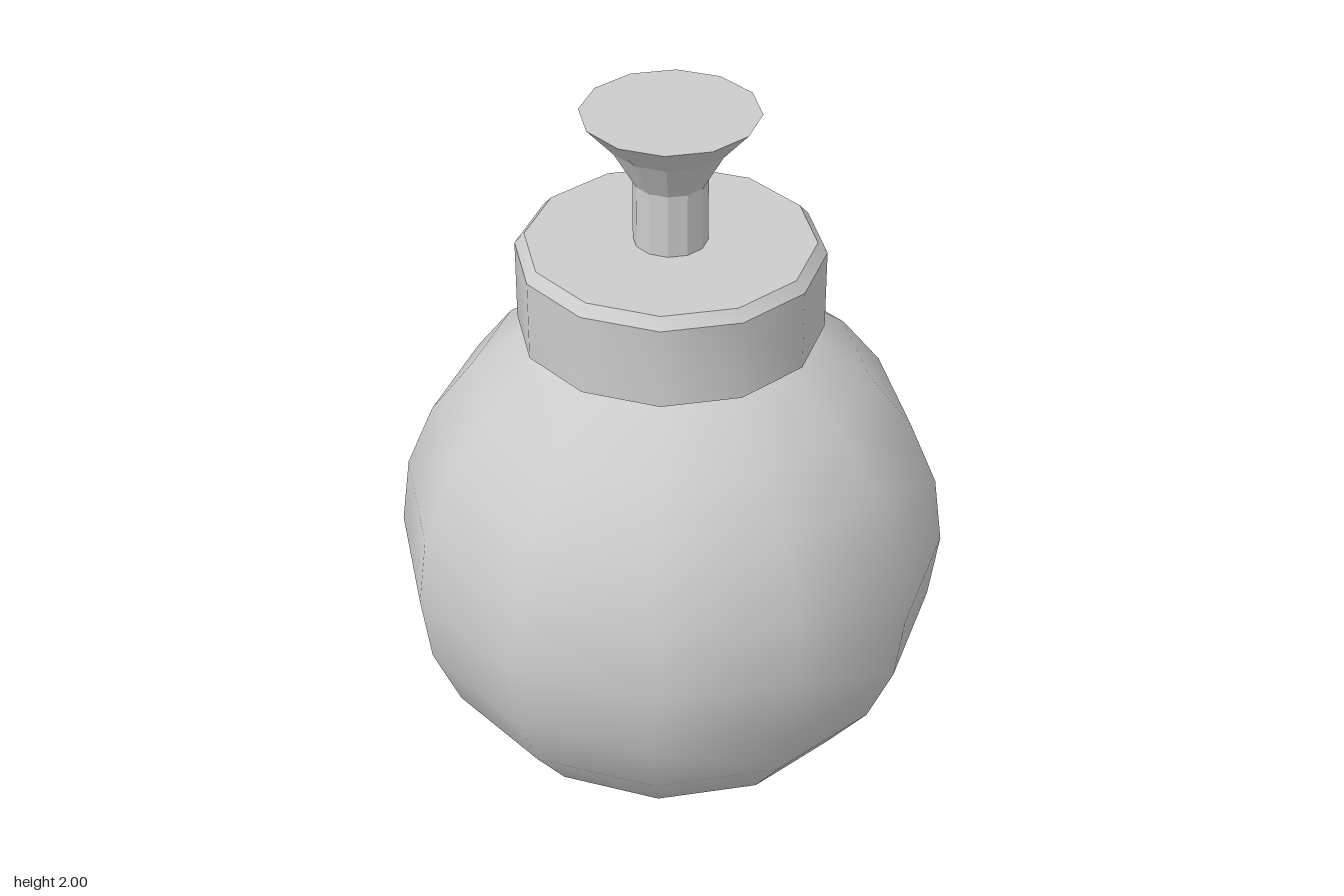
import * as THREE from 'three';
import { toCreasedNormals } from 'three/addons/utils/BufferGeometryUtils.js';

const SIDES = 12;

// Turn a [radius, height] profile, listed from bottom to top
function turned(name, profile, flatShading = false) {
  const points = profile.map(([r, y]) => new THREE.Vector2(r, y));
  const geometry = toCreasedNormals(new THREE.LatheGeometry(points, SIDES), 0.6);
  const mesh = new THREE.Mesh(geometry, new THREE.MeshStandardMaterial({ color: 0xcccccc, flatShading }));
  mesh.name = name;
  return mesh;
}

export function createModel() {
  const group = new THREE.Group();
  group.name = 'roundFlask';

  // Round body
  const body = new THREE.Mesh(
    new THREE.SphereGeometry(0.73, SIDES, 12),
    new THREE.MeshStandardMaterial({ color: 0xcccccc })
  );
  body.name = 'body';
  body.position.y = 0.735;
  group.add(body);

  // Collar with chamfered rims
  group.add(turned('collar', [
    [0, 1.38], [0.365, 1.38], [0.395, 1.4], [0.395, 1.617], [0.37, 1.645], [0, 1.645],
  ]));

  // Stem flaring out to a flat top
  group.add(turned('stem', [
    [0, 1.62], [0.095, 1.62], [0.095, 1.815], [0.155, 1.92], [0.226, 2], [0, 2],
  ], true));

  return group;
}
